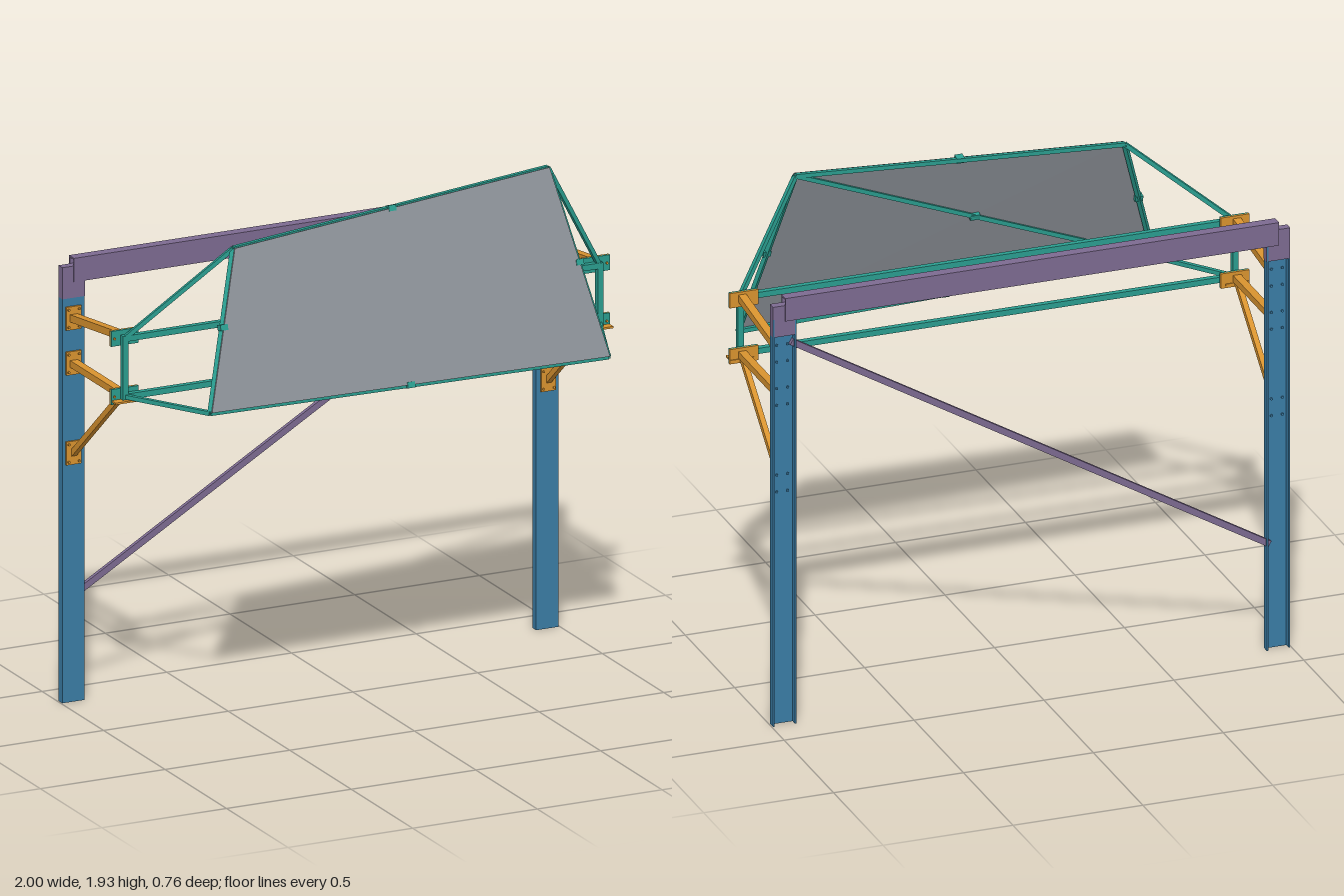
import * as THREE from 'three';

const V = (x, y, z) => new THREE.Vector3(x, y, z);
const mat = (color) => new THREE.MeshStandardMaterial({ color, flatShading: true });

export function createModel() {
  const model = new THREE.Group();
  const blue = mat(0x3a7ca5), purple = mat(0x7d6b91), orange = mat(0xd9932f);
  const teal = mat(0x2a9d8f), grey = mat(0x8d9299);

  const add = (name, geometry, material) => {
    const mesh = new THREE.Mesh(geometry, material);
    mesh.name = name;
    model.add(mesh);
    return mesh;
  };
  const box = (name, w, h, d, x, y, z, material) => {
    const mesh = add(name, new THREE.BoxGeometry(w, h, d), material);
    mesh.position.set(x, y, z);
    return mesh;
  };
  // Straight member between two points
  const bar = (name, a, b, w, h, material) => {
    const mesh = add(name, new THREE.BoxGeometry(w, h, a.distanceTo(b)), material);
    mesh.position.copy(a).add(b).multiplyScalar(0.5);
    mesh.lookAt(b);
    return mesh;
  };
  // Bolt with its axis along z
  const bolt = (x, y, z, material) => {
    const mesh = add('bolt', new THREE.CylinderGeometry(0.005, 0.005, 0.008, 6), material);
    mesh.rotation.x = Math.PI / 2;
    mesh.position.set(x, y, z);
  };
  // U-shaped section: web along the top edge, legs hanging down
  const channel = (w, h, t, length) => {
    const s = new THREE.Shape([
      [-w / 2, 0], [-w / 2, -h], [-w / 2 + t, -h], [-w / 2 + t, -t],
      [w / 2 - t, -t], [w / 2 - t, -h], [w / 2, -h], [w / 2, 0],
    ].map(([x, y]) => new THREE.Vector2(x, y)));
    return new THREE.ExtrudeGeometry(s, { depth: length, bevelEnabled: false });
  };

  // Top beam, open underneath
  const beam = add('topBeam', channel(0.042, 0.09, 0.006, 1.9), purple);
  beam.rotation.y = Math.PI / 2;
  beam.position.set(-0.95, 1.68, -0.361);

  // Diagonal brace between the posts
  bar('diagonalBrace', V(-0.92, 0.414, -0.36), V(0.92, 1.499, -0.36), 0.016, 0.024, purple);

  for (const s of [-1, 1]) {
    const x = s * 0.952;

    // Post, a channel open towards the back
    const post = add('post', channel(0.09, 0.03, 0.006, 1.6), blue);
    post.rotation.x = Math.PI / 2;
    post.rotation.y = Math.PI;
    post.rotation.set(-Math.PI / 2, 0, 0);
    post.geometry.scale(1, -1, 1);
    // restore outward winding after the flip
    const p = post.geometry.attributes.position;
    for (let i = 0; i < p.count; i += 3) {
      const a = V().fromBufferAttribute(p, i), c = V().fromBufferAttribute(p, i + 2);
      p.setXYZ(i, c.x, c.y, c.z);
      p.setXYZ(i + 2, a.x, a.y, a.z);
    }
    post.geometry.computeVertexNormals();
    post.position.set(s * 0.95, 0, -0.346);

    // Cap that carries the beam
    const cap = box('postCap', 0.09, 0.12, 0.032, s * 0.95, 1.59, -0.36, purple);
    cap.scale.x = 1.005;

    // Bracket plates on the post
    for (const y of [1.455, 1.285, 0.945]) {
      box('postPlate', 0.06, 0.088, 0.008, x, y, -0.342, orange);
      for (const dx of [-0.021, 0.021]) for (const dy of [-0.033, 0.033]) {
        bolt(x + dx, y + dy, -0.337, orange);
        bolt(x + dx, y + dy, -0.354, blue);
      }
    }

    // Arms holding the front frame
    bar('upperArm', V(x, 1.505, 0.052), V(x, 1.455, -0.343), 0.03, 0.028, orange);
    bar('lowerArm', V(x, 1.283, 0.052), V(x, 1.283, -0.343), 0.03, 0.026, orange);
    bar('armStrut', V(x, 1.272, 0.045), V(x, 0.942, -0.343), 0.02, 0.022, orange);

    // Joint plates between arms and frame
    for (const y of [1.5, 1.28]) {
      box('armPlate', 0.11, 0.058, 0.007, s * 0.945, y, 0.052, orange);
      box('framePlate', 0.11, 0.058, 0.007, s * 0.945, y, 0.059, teal);
      for (const dx of [-0.042, 0.042]) bolt(s * 0.945 + dx, y, 0.064, orange);
    }
    box('seatPlate', 0.09, 0.007, 0.05, s * 0.953, 1.264, 0.07, orange);
    bar('frameUpright', V(x, 1.27, 0.073), V(x, 1.511, 0.073), 0.022, 0.022, teal);
  }

  // Horizontal frame rails
  for (const y of [1.5, 1.28]) {
    bar('frameRail', V(-0.963, y, 0.072), V(0.963, y, 0.072), 0.022, 0.022, teal);
  }

  // Tilted four-sided panel
  const BL = V(-0.75, 1.275, 0.372), BR = V(0.86, 1.247, 0.345);
  const TL = V(-0.57, 1.82, 0.193), TR = V(0.72, 1.922, 0.135);
  const normal = BR.clone().sub(BL).cross(TL.clone().sub(BL)).normalize();
  const onPanel = (u, v, n) => BL.clone().lerp(BR, u)
    .lerp(TL.clone().lerp(TR, u), v).addScaledVector(normal, n);
  const sheet = new THREE.BoxGeometry(1, 1, 0.008);
  const q = sheet.attributes.position;
  for (let i = 0; i < q.count; i++) {
    const c = onPanel(q.getX(i) + 0.5, q.getY(i) + 0.5, q.getZ(i));
    q.setXYZ(i, c.x, c.y, c.z);
  }
  sheet.computeVertexNormals();
  add('panel', sheet, grey);

  // Tubes behind the panel: four edges and one diagonal
  const back = -0.013;
  const corners = [[0, 0], [1, 0], [1, 1], [0, 1]].map(([u, v]) => onPanel(u, v, back));
  corners.forEach((c, i) => bar('panelEdgeTube', c, corners[(i + 1) % 4], 0.016, 0.016, teal));
  bar('panelDiagonalTube', corners[0], corners[2], 0.016, 0.016, teal);

  // Struts from the panel corners to the frame corners
  const frameCorners = [V(-0.952, 1.28, 0.073), V(0.952, 1.28, 0.073), V(0.952, 1.5, 0.073), V(-0.952, 1.5, 0.073)];
  corners.forEach((c, i) => bar('panelStrut', c, frameCorners[i], 0.016, 0.016, teal));

  // Clips at the middle of the edges and of the diagonal
  for (const [u, v] of [[0.5, 0], [0.5, 1], [0, 0.52], [1, 0.5]]) {
    const c = onPanel(u, v, -0.006);
    const clip = box('panelClip', 0.03, 0.022, 0.026, c.x, c.y, c.z, teal);
    clip.lookAt(c.clone().add(normal));
  }
  const mid = corners[0].clone().lerp(corners[2], 0.5);
  const midClip = box('centreClip', 0.036, 0.022, 0.018, mid.x, mid.y, mid.z, teal);
  midClip.lookAt(mid.clone().add(normal));

  return model;
}
